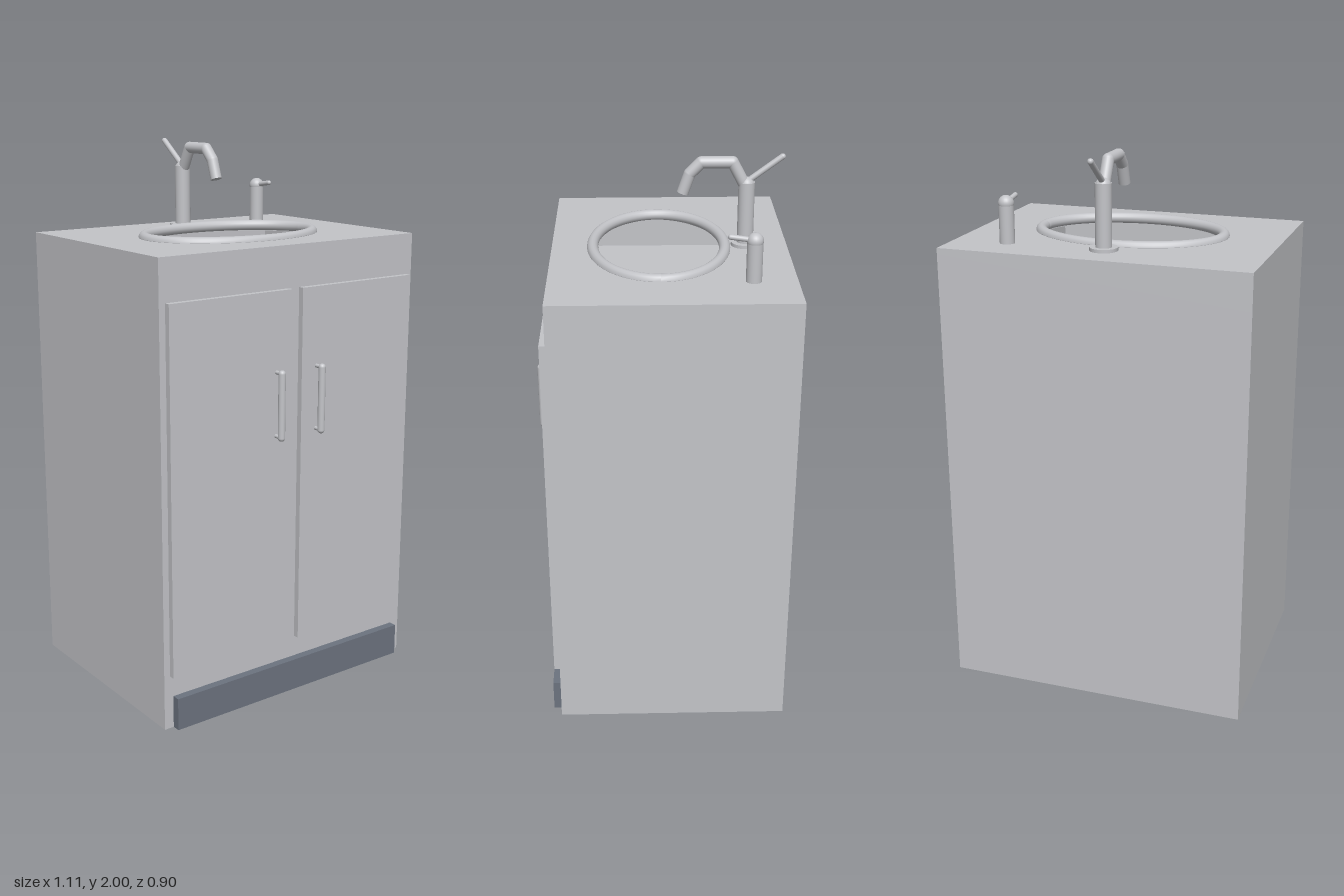
import * as THREE from 'three';

const cabinetGrey = new THREE.MeshStandardMaterial({ color: 0xc3c4c8 });
cabinetGrey.name = 'cabinet grey';
const plinthGrey = new THREE.MeshStandardMaterial({ color: 0x6c737f });
plinthGrey.name = 'plinth slate';

const V = (x, y, z) => new THREE.Vector3(x, y, z);

function add(parent, name, geometry, material = cabinetGrey, x = 0, y = 0, z = 0) {
  const mesh = new THREE.Mesh(geometry, material);
  mesh.name = name;
  mesh.position.set(x, y, z);
  parent.add(mesh);
  return mesh;
}

// Box given by its minimum and maximum corners
function box(parent, name, a, b, material) {
  const size = b.clone().sub(a), c = a.clone().add(b).multiplyScalar(0.5);
  return add(parent, name, new THREE.BoxGeometry(size.x, size.y, size.z), material, c.x, c.y, c.z);
}

// Round bar between two points
function bar(parent, name, a, b, r) {
  const mid = a.clone().add(b).multiplyScalar(0.5);
  const mesh = add(parent, name, new THREE.CylinderGeometry(r, r, a.distanceTo(b), 24), cabinetGrey, mid.x, mid.y, mid.z);
  mesh.quaternion.setFromUnitVectors(V(0, 1, 0), b.clone().sub(a).normalize());
  return mesh;
}

function ball(parent, name, p, r) {
  return add(parent, name, new THREE.SphereGeometry(r, 24, 16), cabinetGrey, p.x, p.y, p.z);
}

const W = 0.557, BACK = -0.452, FRONT = 0.385, TOP = 1.67;

function rectangle(path, x, zBack, zFront) {
  return path.moveTo(-x, -zFront).lineTo(x, -zFront).lineTo(x, -zBack).lineTo(-x, -zBack).closePath();
}

// Horizontal slab with an opening
function slab(parent, name, y0, y1, hole) {
  const shape = rectangle(new THREE.Shape(), W, BACK, FRONT);
  shape.holes.push(hole);
  const g = new THREE.ExtrudeGeometry(shape, { depth: y1 - y0, bevelEnabled: false, curveSegments: 48 });
  g.rotateX(-Math.PI / 2);
  return add(parent, name, g, cabinetGrey, 0, y0, 0);
}

export function createModel() {
  const model = new THREE.Group();
  model.name = 'washbasinCabinet';

  // Cabinet, boxed basin recess and worktop with an oval opening
  const floorY = 1.54, underTop = 1.65;
  box(model, 'cabinetBody', V(-W, 0, BACK), V(W, floorY, FRONT));
  slab(model, 'basinWalls', floorY, underTop, rectangle(new THREE.Path(), 0.36, -0.25, 0.26));
  slab(model, 'worktop', underTop, TOP, new THREE.Path().absellipse(0, -0.005, 0.33, 0.235, 0, Math.PI * 2));

  // Oval basin rim
  const rim = new THREE.TorusGeometry(1, 0.06, 16, 72);
  rim.rotateX(Math.PI / 2);
  const p = rim.attributes.position;
  for (let i = 0; i < p.count; i++) {
    const x = p.getX(i), z = p.getZ(i), r = Math.hypot(x, z), off = (r - 1) / 0.06 * 0.02;
    p.setXYZ(i, x / r * (0.34 + off), p.getY(i) / 0.06 * 0.02, z / r * (0.235 + off));
  }
  rim.computeVertexNormals();
  add(model, 'basinRim', rim, cabinetGrey, 0, 1.671, 0.005);

  // Plinth, doors and handles
  box(model, 'plinth', V(-0.52, 0, FRONT), V(0.517, 0.12, 0.415), plinthGrey);
  for (const s of [-1, 1]) {
    const side = s < 0 ? 'right' : 'left';
    const door = new THREE.Group();
    door.name = side + 'Door';
    model.add(door);
    add(door, 'doorPanel', new THREE.BoxGeometry(0.51, 1.32, 0.022), cabinetGrey, s * 0.278, 0.86, 0.396);
    const hx = s * 0.09, hz = 0.438;
    bar(door, 'handleGrip', V(hx, 1.005, hz), V(hx, 1.235, hz), 0.013);
    for (const y of [1.005, 1.235]) {
      ball(door, 'handleEnd', V(hx, y, hz), 0.013);
      bar(door, 'handlePost', V(hx, y, 0.4), V(hx, y, hz), 0.007);
    }
  }

  // Mixer tap
  const tap = new THREE.Group();
  tap.name = 'tap';
  model.add(tap);
  const tz = -0.303;
  bar(tap, 'tapFlange', V(0, TOP, tz), V(0, 1.682, tz), 0.05);
  bar(tap, 'tapColumn', V(0, TOP, tz), V(0, 1.9, tz), 0.029);
  ball(tap, 'tapCap', V(0, 1.89, tz), 0.028);
  const spout = [[1.89, -0.295], [1.97, -0.252], [1.97, -0.143], [1.93, -0.103], [1.862, -0.079]].map(([y, z]) => V(0, y, z));
  for (let i = 1; i < spout.length; i++) {
    bar(tap, 'spoutSection', spout[i - 1], spout[i], 0.021);
    if (i < spout.length - 1) ball(tap, 'spoutJoint', spout[i], 0.021);
  }
  bar(tap, 'tapLever', V(0, 1.9, tz), V(0, 1.99, -0.426), 0.0105);
  ball(tap, 'leverTip', V(0, 1.989, -0.425), 0.0105);

  // Soap dispenser
  const soap = new THREE.Group();
  soap.name = 'soapDispenser';
  model.add(soap);
  const sx = 0.357;
  bar(soap, 'dispenserColumn', V(sx, TOP, tz), V(sx, 1.81, tz), 0.027);
  ball(soap, 'dispenserCap', V(sx, 1.81, tz), 0.028);
  bar(soap, 'dispenserNozzle', V(sx, 1.812, tz), V(sx, 1.824, -0.222), 0.009);
  ball(soap, 'nozzleTip', V(sx, 1.824, -0.222), 0.009);

  return model;
}
